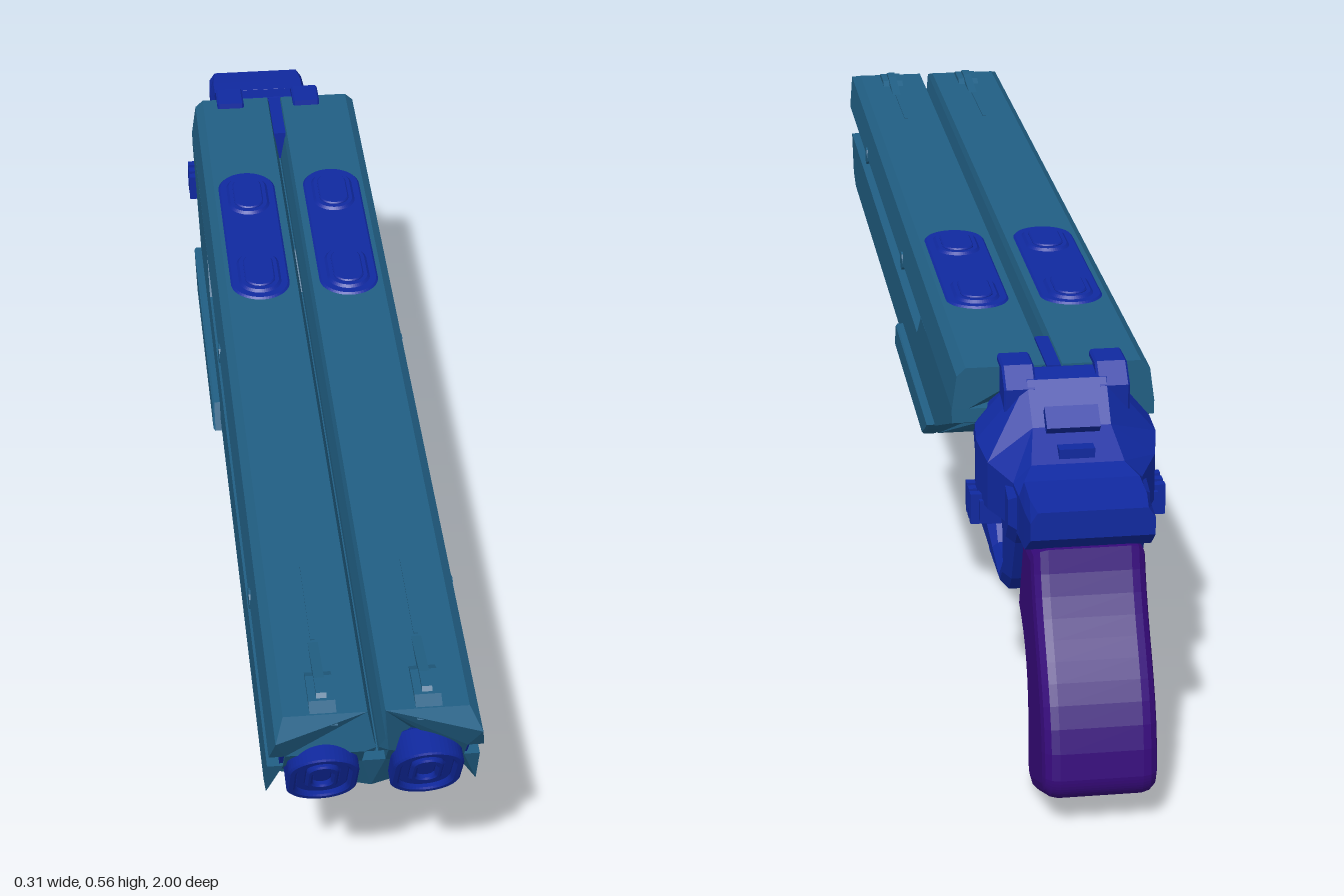
import * as THREE from 'three';

const material = (color) => new THREE.MeshStandardMaterial({ color, flatShading: true });
const TEAL = material(0x215f84), BLUE = material(0x1029a0), PURPLE = material(0x370a7c);
const RX = -0.012; // receiver and grip sit slightly off the barrel axis

const shapeOf = (pts) => new THREE.Shape(pts.map(([a, b]) => new THREE.Vector2(a, b)));

// Piecewise linear lookup in rows of [y, z], y rising
function lookup(rows, y) {
  for (let i = 1; i < rows.length; i++) {
    const [y0, z0] = rows[i - 1], [y1, z1] = rows[i];
    if (y <= y1) return z0 + (z1 - z0) * Math.max(0, (y - y0) / (y1 - y0));
  }
  return rows[rows.length - 1][1];
}

// Side profile in (z, y), extruded across x from x0 to x1
function sideExtrude(shape, x0, x1, bevel = 0, segments = 1) {
  const geo = new THREE.ExtrudeGeometry(shape, {
    depth: x1 - x0 - 2 * bevel, bevelEnabled: bevel > 0, bevelSize: bevel,
    bevelThickness: bevel, bevelOffset: -bevel, bevelSegments: segments, curveSegments: 10,
  });
  geo.rotateY(-Math.PI / 2);
  geo.translate(x1 - bevel, 0, 0);
  return geo;
}

// Upright rounded slot outline with half width r and half height h
function slot(r, h) {
  const s = new THREE.Shape();
  s.absarc(0, h - r, r, 0, Math.PI, false);
  s.absarc(0, r - h, r, Math.PI, Math.PI * 2, false);
  s.closePath();
  return s;
}

// Slot lying flat in the xz plane, rising from y0 to y1
function flatSlot(r, h, y0, y1, bevel = 0.004) {
  const geo = new THREE.ExtrudeGeometry(slot(r, h), {
    depth: y1 - y0 - bevel, bevelEnabled: true, bevelSize: bevel, bevelThickness: bevel,
    bevelOffset: -bevel, bevelSegments: 1, curveSegments: 14,
  });
  geo.rotateX(-Math.PI / 2);
  geo.translate(0, y0, 0);
  return geo;
}

export function createModel() {
  const model = new THREE.Group();
  const add = (name, geo, mat, x = 0, y = 0, z = 0) => {
    const mesh = new THREE.Mesh(geo, mat);
    mesh.name = name;
    mesh.position.set(x, y, z);
    model.add(mesh);
    return mesh;
  };
  const box = (name, w, h, d, mat, x, y, z) => add(name, new THREE.BoxGeometry(w, h, d), mat, x, y, z);

  // Barrel housing: two mirrored halves with raked ends
  const front = [[0.338, 0.84], [0.355, 0.875], [0.37, 0.915], [0.44, 0.94], [0.485, 0.97], [0.535, 1], [0.547, 0.96]];
  const rear = [[0.338, -0.35], [0.37, -0.4], [0.465, -0.63], [0.547, -0.63]];
  const section = [
    [0, 0.338], [0.132, 0.338], [0.145, 0.355], [0.145, 0.37], [0.145, 0.44], [0.123, 0.44], [0.123, 0.485],
    [0.145, 0.485], [0.138, 0.535], [0.125, 0.547], [0.012, 0.547], [0.008, 0.535], [0.002, 0.5], [0.002, 0.485],
    [0.016, 0.485], [0.016, 0.44], [0, 0.44], [0, 0.37], [0, 0.355],
  ];
  for (const side of [1, -1]) {
    const pts = section.map(([x, y]) => [x * side, y]);
    const geo = new THREE.ExtrudeGeometry(shapeOf(pts), { depth: 1, bevelEnabled: false });
    const p = geo.attributes.position;
    for (let i = 0; i < p.count; i++) p.setZ(i, lookup(p.getZ(i) > 0.5 ? front : rear, p.getY(i)));
    add('barrelHousing', geo, TEAL);
  }

  // Solid rear part of the side grooves
  add('grooveEnd', sideExtrude(shapeOf([[-0.24, 0.486], [-0.18, 0.439], [-0.567, 0.439], [-0.63, 0.465], [-0.63, 0.486]]), -0.145, 0.145), TEAL);

  for (const s of [1, -1]) {
    const lane = s * 0.071;

    // Inlaid strip along the side, with two small studs
    const strip = sideExtrude(shapeOf([[0.963, 0.485], [0.935, 0.44], [-0.18, 0.44], [-0.24, 0.485]]), -0.004, 0.004);
    add('sideStrip', strip, BLUE, s * 0.124);
    for (const z of [0.64, 0.04]) {
      const stud = new THREE.CylinderGeometry(0.015, 0.015, 0.02, 12).rotateZ(Math.PI / 2);
      add('sideStud', stud, TEAL, s * 0.136, 0.484, z);
    }

    // Lower side plate
    const plate = shapeOf([[0.05, 0.338], [0.03, 0.38], [-0.42, 0.38], [-0.4, 0.365], [-0.35, 0.338]]);
    add('sidePlate', sideExtrude(plate, -0.012, 0.012, 0.003), TEAL, s * 0.145);

    // Rounded rail under the muzzle
    add('underRail', flatSlot(0.046, 0.165, 0, 0.028, 0.001).rotateZ(Math.PI), TEAL, lane, 0.338, 0.655);

    // Muzzle: nested slot rings following the raked front
    const rings = [[0.048, 0.075, 0.036, 0.061, 0.018], [0.037, 0.062, 0.021, 0.042, 0.009],
      [0.022, 0.043, 0.013, 0.027, 0.016], [0.014, 0.028, 0, 0, 0.007]];
    for (const [r, h, ri, hi, lift] of rings) {
      const shape = slot(r, h);
      if (ri) shape.holes.push(new THREE.Path(slot(ri, hi).getPoints(12)));
      const geo = new THREE.ExtrudeGeometry(shape, {
        depth: 0.05, bevelEnabled: true, bevelSize: 0.003, bevelThickness: 0.003,
        bevelOffset: -0.003, bevelSegments: 1, curveSegments: 12,
      });
      const p = geo.attributes.position;
      for (let i = 0; i < p.count; i++) p.setZ(i, p.getZ(i) + 0.55 * p.getY(i));
      geo.computeVertexNormals();
      add('muzzleRing', geo, BLUE, lane, 0.425, 0.94 - 0.053 + lift);
    }

    // Top inlay with a domed oval at each end
    add('topInlay', flatSlot(0.048, 0.188, 0, 0.012), BLUE, lane, 0.538, -0.198);
    for (const z of [-0.312, -0.084]) {
      add('inlayOval', flatSlot(0.034, 0.058, 0, 0.006), BLUE, lane, 0.548, z);
      add('inlayOvalCap', flatSlot(0.024, 0.046, 0, 0.004, 0.002), BLUE, lane, 0.553, z);
    }

    // Front sight: low ramp, taller blade and a thin tail
    const ramp = shapeOf([[0.975, 0.54], [0.94, 0.554], [0.89, 0.554], [0.86, 0.54]]);
    add('sightRamp', sideExtrude(ramp, -0.018, 0.018), TEAL, lane);
    const blade = shapeOf([[0.95, 0.54], [0.93, 0.559], [0.9, 0.559], [0.8, 0.545], [0.8, 0.54]]);
    add('sightBlade', sideExtrude(blade, -0.007, 0.007), TEAL, lane);
    box('sightTail', 0.006, 0.008, 0.16, TEAL, lane, 0.545, 0.73);

    // Hinge prong above the receiver
    add('hingeProng', sideExtrude(shapeOf([[-0.59, 0.5], [-0.6, 0.556], [-0.65, 0.556], [-0.68, 0.53], [-0.68, 0.46]]),
      -0.023, 0.023, 0.003), BLUE, RX + s * 0.066);

    // Ribbed catch on each side of the receiver
    for (let i = 0; i < 3; i++) box('catchRib', 0.05, 0.045, 0.013, BLUE, RX + s * 0.114, 0.36, -0.648 - i * 0.021);
    box('catchBase', 0.04, 0.03, 0.07, BLUE, RX + s * 0.107, 0.36, -0.669);
  }
  box('rearSeam', 0.02, 0.05, 0.12, BLUE, 0, 0.521, -0.571);

  // Receiver hump, lofted from hexagonal sections: z, top y, top half width, shoulder y, half width, bottom y
  const stations = [
    [-0.57, 0.53, 0.06, 0.46, 0.105, 0.4], [-0.635, 0.545, 0.058, 0.465, 0.125, 0.375],
    [-0.67, 0.54, 0.056, 0.455, 0.128, 0.37], [-0.72, 0.488, 0.055, 0.44, 0.118, 0.37],
    [-0.775, 0.455, 0.065, 0.43, 0.09, 0.365], [-0.81, 0.446, 0.08, 0.425, 0.087, 0.365],
    [-0.865, 0.443, 0.08, 0.425, 0.087, 0.37], [-0.905, 0.44, 0.075, 0.425, 0.085, 0.4],
  ];
  const verts = [], faces = [];
  for (const [z, yt, ht, ys, hm, yb] of stations) {
    verts.push(hm, yb, z, hm, ys, z, ht, yt, z, -ht, yt, z, -hm, ys, z, -hm, yb, z);
  }
  for (let i = 0; i < stations.length - 1; i++) {
    for (let j = 0; j < 6; j++) {
      const a = i * 6 + j, b = i * 6 + (j + 1) % 6;
      faces.push(a, a + 6, b, b, a + 6, b + 6);
    }
  }
  const last = (stations.length - 1) * 6;
  for (let j = 1; j < 5; j++) faces.push(0, j, j + 1, last, last + j + 1, last + j);
  let hump = new THREE.BufferGeometry();
  hump.setAttribute('position', new THREE.Float32BufferAttribute(verts, 3));
  hump.setIndex(faces);
  hump = hump.toNonIndexed();
  hump.computeVertexNormals();
  add('receiver', hump, BLUE, RX);

  // Release latch on the receiver slope
  const latch = box('latch', 0.075, 0.022, 0.035, BLUE, RX, 0.496, -0.718);
  latch.rotation.x = -0.7;
  box('latchBar', 0.05, 0.014, 0.02, BLUE, RX, 0.466, -0.758);

  // Lower frame with the trigger guard opening
  const frame = shapeOf([
    [-0.61, 0.46], [-0.4, 0.372], [-0.44, 0.312], [-0.475, 0.297], [-0.495, 0.243], [-0.715, 0.243],
    [-0.74, 0.27], [-0.775, 0.34], [-0.8, 0.37], [-0.8, 0.42], [-0.7, 0.45],
  ]);
  frame.holes.push(shapeOf([
    [-0.575, 0.345], [-0.6, 0.365], [-0.68, 0.365], [-0.72, 0.34], [-0.725, 0.3],
    [-0.69, 0.268], [-0.6, 0.264], [-0.58, 0.285],
  ]));
  add('triggerFrame', sideExtrude(frame, -0.099, 0.099, 0.012), BLUE, RX);

  // Trigger
  const trigger = shapeOf([[-0.655, 0.375], [-0.68, 0.335], [-0.685, 0.3], [-0.668, 0.266], [-0.69, 0.262],
    [-0.715, 0.3], [-0.72, 0.375]]);
  add('trigger', sideExtrude(trigger, -0.025, 0.025, 0.005), TEAL, RX);

  // Curved grip with rounded edges
  const grip = new THREE.Shape();
  grip.moveTo(-0.775, 0.365);
  grip.lineTo(-0.875, 0.372);
  grip.bezierCurveTo(-0.9, 0.26, -0.99, 0.22, -0.997, 0.085);
  grip.quadraticCurveTo(-0.995, 0.058, -0.975, 0.048);
  grip.lineTo(-0.875, 0.004);
  grip.quadraticCurveTo(-0.84, 0, -0.83, 0.03);
  grip.bezierCurveTo(-0.83, 0.17, -0.8, 0.2, -0.725, 0.225);
  grip.lineTo(-0.765, 0.335);
  add('grip', sideExtrude(grip, -0.079, 0.079, 0.022, 3), PURPLE, RX - 0.001);

  return model;
}
